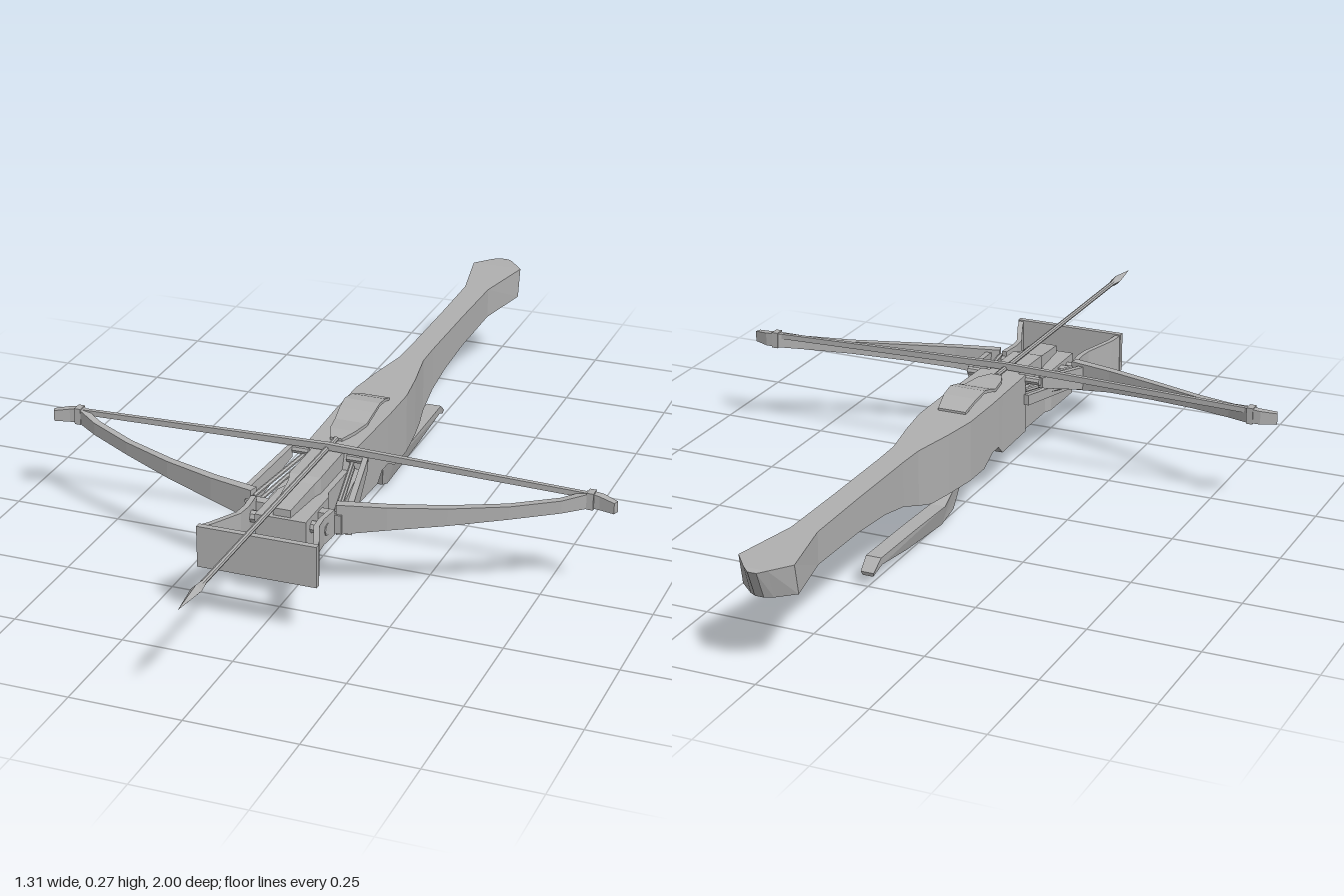
import * as THREE from 'three';

const grey = new THREE.MeshStandardMaterial({ color: 0xb0b0b0, flatShading: true, side: THREE.DoubleSide });
grey.name = 'plain grey';

// Sweeps an upright rectangle along a plan path of [x, z, bottomY, topY, halfThickness, bottomShiftZ].
function ribbon(path) {
  const pos = [], idx = [];
  path.forEach(([x, z, yb, yt, half, shift = 0], i) => {
    const a = path[Math.max(i - 1, 0)], b = path[Math.min(i + 1, path.length - 1)];
    const dx = b[0] - a[0], dz = b[1] - a[1], len = Math.hypot(dx, dz);
    const nx = (dz / len) * half, nz = (-dx / len) * half;
    pos.push(x + nx, yb, z + nz + shift, x + nx, yt, z + nz, x - nx, yt, z - nz, x - nx, yb, z - nz + shift);
  });
  for (let i = 0; i < path.length - 1; i++) {
    for (let k = 0; k < 4; k++) {
      const a = i * 4 + k, b = i * 4 + (k + 1) % 4;
      idx.push(a, b, b + 4, a, b + 4, a + 4);
    }
  }
  const e = (path.length - 1) * 4;
  idx.push(0, 2, 1, 0, 3, 2, e, e + 1, e + 2, e, e + 2, e + 3);
  // Turn the faces outward whichever way the path runs
  const v = i => new THREE.Vector3().fromArray(pos, i * 3);
  let volume = 0;
  for (let i = 0; i < idx.length; i += 3) volume += v(idx[i]).dot(v(idx[i + 1]).cross(v(idx[i + 2])));
  if (volume < 0) idx.reverse();
  const g = new THREE.BufferGeometry();
  g.setAttribute('position', new THREE.Float32BufferAttribute(pos, 3));
  g.setIndex(idx);
  const flat = g.toNonIndexed();
  flat.computeVertexNormals();
  return flat;
}

// Round bar between two points
function rod(a, b, r0, r1 = r0, sides = 8) {
  const p = new THREE.Vector3(...a), q = new THREE.Vector3(...b), d = q.clone().sub(p);
  const g = new THREE.CylinderGeometry(r1, r0, d.length(), sides);
  g.applyQuaternion(new THREE.Quaternion().setFromUnitVectors(new THREE.Vector3(0, 1, 0), d.normalize()));
  const m = p.add(q).multiplyScalar(0.5);
  return g.translate(m.x, m.y, m.z);
}

export function createModel() {
  const model = new THREE.Group();
  model.name = 'crossbow';
  const add = (name, geometry) => {
    const mesh = new THREE.Mesh(geometry, grey);
    mesh.name = name;
    model.add(mesh);
    return mesh;
  };

  // Stock: lowered fore end, notched belly, slim neck and flared butt
  add('stock', ribbon([
    [0, 0.49, 0.105, 0.205, 0.058], [0, 0.36, 0.105, 0.205, 0.058],
    [0, 0.34, 0.105, 0.205, 0.05], [0, 0.225, 0.105, 0.205, 0.05],
    [0, 0.21, 0.105, 0.245, 0.056], [0, 0.07, 0.105, 0.245, 0.06],
    [0, 0.045, 0.127, 0.245, 0.061], [0, 0.01, 0.127, 0.245, 0.062],
    [0, -0.035, 0.105, 0.245, 0.062], [0, -0.11, 0.105, 0.245, 0.062],
    [0, -0.2, 0.105, 0.245, 0.05], [0, -0.265, 0.105, 0.245, 0.038],
    [0, -0.31, 0.117, 0.245, 0.03], [0, -0.38, 0.142, 0.245, 0.028],
    [0, -0.47, 0.159, 0.245, 0.028], [0, -0.6, 0.169, 0.245, 0.028],
    [0, -0.78, 0.173, 0.245, 0.03], [0, -0.94, 0.176, 0.245, 0.062, 0.015],
    [0, -0.985, 0.177, 0.244, 0.026, 0.025], [0, -1.0, 0.179, 0.242, 0.01, 0.028],
  ]));

  // Raised rail that carries the bolt
  add('boltRail', ribbon([
    [0, 0.48, 0.2, 0.222, 0.02], [0, 0.37, 0.2, 0.235, 0.03],
    [0, 0.35, 0.2, 0.242, 0.036], [0, 0.2, 0.2, 0.244, 0.036],
  ]));

  // Arched plate over the string catch
  add('catchCover', ribbon([
    [0, 0.17, 0.244, 0.251, 0.014], [0, 0.13, 0.246, 0.254, 0.03],
    [0, 0.08, 0.246, 0.253, 0.038], [0, 0.045, 0.257, 0.265, 0.041],
    [0, 0.01, 0.266, 0.273, 0.042], [0, -0.03, 0.26, 0.267, 0.04],
    [0, -0.075, 0.243, 0.25, 0.033],
  ]));

  // Long trigger lever, thinning toward its lower edge
  const outline = [[-0.04, 0.11], [-0.075, 0.065], [-0.09, 0.02], [-0.14, 0], [-0.33, 0.018], [-0.465, 0.04],
    [-0.5, 0.025], [-0.503, 0.034], [-0.472, 0.058], [-0.3, 0.055], [-0.15, 0.05], [-0.11, 0.07], [-0.11, 0.11]];
  const lever = new THREE.ExtrudeGeometry(new THREE.Shape(outline.map(p => new THREE.Vector2(...p))),
    { depth: 1, bevelEnabled: false });
  const lp = lever.attributes.position;
  for (let i = 0; i < lp.count; i++) {
    const z = lp.getX(i), y = lp.getY(i), d = lp.getZ(i);
    lp.setXYZ(i, (0.5 - d) * 2 * Math.min(0.018, 0.005 + y * 0.3), y, z);
  }
  lever.computeVertexNormals();
  add('triggerLever', lever);

  // Bolt with a four-sided head
  add('boltShaft', rod([0, 0.249, 0.17], [0, 0.249, 0.9], 0.006));
  add('boltHeadBase', rod([0, 0.249, 0.88], [0, 0.249, 0.915], 0.006, 0.012, 4));
  add('boltHeadTip', rod([0, 0.249, 0.915], [0, 0.249, 1.0], 0.012, 0.0005, 4));

  // Foot stirrup at the nose
  add('stirrupPlate', ribbon([[-0.134, 0.613, 0.13, 0.224, 0.007], [0.134, 0.613, 0.13, 0.224, 0.007]]));

  // Cross bar that joins the two limbs
  add('limbCrossBar', ribbon([[-0.11, 0.41, 0.155, 0.198, 0.012], [0.11, 0.41, 0.155, 0.198, 0.012]]));

  for (const s of [-1, 1]) {
    const side = s > 0 ? 'left' : 'right';
    const mirrored = path => ribbon(path.map(([x, ...rest]) => [s * x, ...rest]));

    add(side + 'StirrupArm', mirrored([
      [0.128, 0.612, 0.13, 0.222, 0.006], [0.118, 0.58, 0.142, 0.216, 0.006],
      [0.088, 0.505, 0.15, 0.21, 0.006], [0.085, 0.47, 0.15, 0.21, 0.006], [0.09, 0.42, 0.152, 0.21, 0.006],
    ]));

    // Bow limb with a recurved tip
    add(side + 'Limb', mirrored([
      [0.095, 0.408, 0.15, 0.22, 0.011], [0.2, 0.383, 0.167, 0.22, 0.01],
      [0.32, 0.345, 0.181, 0.221, 0.009], [0.44, 0.298, 0.195, 0.225, 0.008],
      [0.54, 0.252, 0.206, 0.235, 0.008], [0.595, 0.22, 0.214, 0.248, 0.009],
      [0.62, 0.222, 0.214, 0.245, 0.009], [0.655, 0.234, 0.215, 0.24, 0.007],
    ]));

    // Braces and lashing between the limb root and the stock
    add(side + 'LimbBrace', mirrored([[0.122, 0.41, 0.15, 0.21, 0.007], [0.088, 0.22, 0.215, 0.24, 0.006]]));
    add(side + 'InnerBrace', mirrored([[0.085, 0.43, 0.145, 0.165, 0.006], [0.062, 0.2, 0.175, 0.2, 0.006]]));
    for (let i = 0; i < 3; i++) {
      add(side + 'Lashing', rod([s * 0.095, 0.16 + i * 0.022, 0.41], [s * 0.055, 0.19 + i * 0.017, 0.21], 0.005, 0.005, 6));
    }
    add(side + 'BracePin', rod([s * 0.045, 0.232, 0.215], [s * 0.09, 0.232, 0.215], 0.01));
    add(side + 'StirrupPin', rod([s * 0.05, 0.18, 0.455], [s * 0.094, 0.18, 0.455], 0.014));

    // Half of the bowstring and its loop
    add(side + 'String', mirrored([[0, 0.222, 0.247, 0.262, 0.006], [0.61, 0.222, 0.234, 0.246, 0.005]]));
    add(side + 'StringLoop', mirrored([[0.59, 0.222, 0.212, 0.25, 0.012], [0.605, 0.222, 0.212, 0.25, 0.012]]));
  }
  return model;
}
